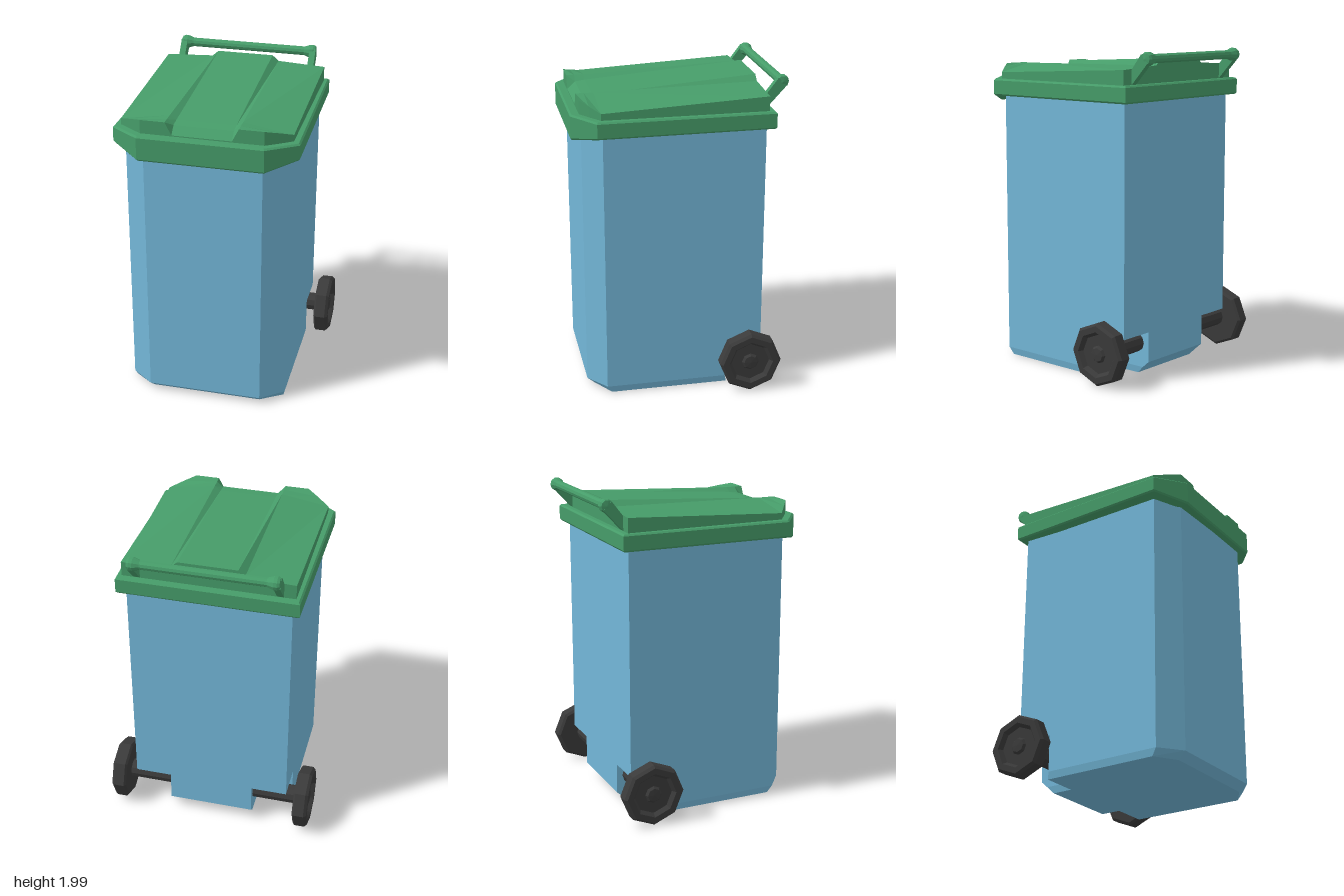
import * as THREE from 'three';

const mat = (color) => new THREE.MeshStandardMaterial({ color, flatShading: true });
const blue = mat(0x73b7d8), green = mat(0x469c69), dark = mat(0x3a3a3a);

function add(parent, name, geometry, material) {
  const mesh = new THREE.Mesh(geometry, material);
  mesh.name = name;
  parent.add(mesh);
  return mesh;
}

// Closed solid through rings of Vector3; u, v are the axes of the ring plane
function loft(rings, u, v) {
  const flat = (r) => r.map((p) => new THREE.Vector2(p[u], p[v]));
  if (THREE.ShapeUtils.area(flat(rings[0])) < 0) rings = rings.map((r) => [...r].reverse());
  const pos = [];
  const tri = (a, b, c) => {
    const n = b.clone().sub(a).cross(c.clone().sub(a));
    if (n.length() > 1e-8) for (const p of [a, b, c]) pos.push(p.x, p.y, p.z);
  };
  for (let k = 0; k + 1 < rings.length; k++) {
    const a = rings[k], b = rings[k + 1], n = a.length;
    for (let i = 0; i < n; i++) {
      const j = (i + 1) % n;
      tri(a[i], a[j], b[j]);
      tri(a[i], b[j], b[i]);
    }
  }
  const cap = (ring, up) => {
    const pts = flat(ring);
    for (const [a, b, c] of THREE.ShapeUtils.triangulateShape(pts, [])) {
      const ccw = THREE.ShapeUtils.area([pts[a], pts[b], pts[c]]) > 0;
      if (ccw === up) tri(ring[a], ring[b], ring[c]);
      else tri(ring[a], ring[c], ring[b]);
    }
  };
  cap(rings[0], false);
  cap(rings[rings.length - 1], true);
  const g = new THREE.BufferGeometry();
  g.setAttribute('position', new THREE.Float32BufferAttribute(pos, 3));
  g.computeVertexNormals();
  return g;
}

// Half outline [x, z, y] on the +x side, mirrored to a full ring
const plan = (half, y) => [
  ...half.map(([x, z, h = y]) => new THREE.Vector3(x, h, z)),
  ...[...half].reverse().map(([x, z, h = y]) => new THREE.Vector3(-x, h, z)),
];

function lathe(points, segments = 8) {
  return new THREE.LatheGeometry(points.map(([r, y]) => new THREE.Vector2(r, y)), segments);
}

export function createModel() {
  const bin = new THREE.Group();
  bin.name = 'wheeledBin';

  // Body with cut front corners and wheel notches at the back corners
  const front = [[0.5, 0.48], [0.36, 0.59]];
  const notched = (back) => [[0.27, back], [0.27, -0.28], [0.5, -0.28], ...front];
  const full = [[0.27, -0.51], [0.5, -0.51], [0.5, -0.28], ...front];
  const base = [[0.26, -0.42], [0.26, -0.29], [0.49, -0.29], [0.49, 0.45], [0.35, 0.54]];
  add(bin, 'body', loft([
    plan(base, 0.005),
    plan(notched(-0.465), 0.05),
    plan(notched(-0.51), 0.09),
    plan(notched(-0.51), 0.28),
    plan(full, 0.28),
    plan(full, 1.71),
  ], 'z', 'x'), blue);

  const lid = new THREE.Group();
  lid.name = 'lid';
  bin.add(lid);

  // Lid rim, its front lip hanging lower than the sides
  const rim = (inset, frontY, sideY) => plan([
    [0.55 - inset, -0.56 + inset, sideY],
    [0.563 - inset, 0.52 - inset / 2, sideY],
    [0.38 - inset / 2, 0.655 - inset, frontY],
  ], sideY);
  add(lid, 'lidRim', loft([
    rim(0.008, 1.655, 1.7), rim(0, 1.665, 1.71), rim(0, 1.8, 1.795), rim(0.01, 1.81, 1.805),
  ], 'z', 'x'), green);

  // Raised lid panel: a centre ridge at the back that sinks to a channel at the front
  const section = (z, w, outer, side, middle) => plan(
    [[w, z, 1.79], [w, z, outer], [0.22, z, side], [0.18, z, middle]], 0);
  add(lid, 'lidPanel', loft([
    section(-0.52, 0.52, 1.895, 1.91, 1.945),
    section(0.49, 0.52, 1.845, 1.893, 1.868),
    section(0.55, 0.44, 1.872, 1.893, 1.86),
    section(0.6, 0.37, 1.893, 1.893, 1.815),
  ], 'x', 'y'), green);

  // Handle bar with flared ends on two slanted arms
  const bar = add(lid, 'handleBar', lathe([
    [0, -0.45], [0.035, -0.445], [0.042, -0.43], [0.042, -0.41], [0.028, -0.37],
    [0.028, 0.37], [0.042, 0.41], [0.042, 0.43], [0.035, 0.445], [0, 0.45],
  ], 10), green);
  bar.rotation.z = -Math.PI / 2;
  bar.position.set(0, 1.958, -0.617);

  const armShape = new THREE.Shape([
    [-0.505, 1.8], [-0.505, 1.875], [-0.59, 1.985], [-0.64, 1.935], [-0.525, 1.81],
  ].map(([z, y]) => new THREE.Vector2(-z, y)));
  for (const s of [1, -1]) {
    const arm = add(lid, 'handleArm',
      new THREE.ExtrudeGeometry(armShape, { depth: 0.04, bevelEnabled: false }), green);
    arm.rotation.y = Math.PI / 2;
    arm.position.x = s * 0.428 - 0.02;
  }

  // Octagonal wheels with a recessed outer face, on short axles
  const wheelProfile = [
    [0, -0.047], [0.18, -0.047], [0.196, -0.035], [0.196, 0.03], [0.18, 0.047],
    [0.142, 0.047], [0.122, 0.02], [0.055, 0.02], [0.042, 0.035], [0, 0.038],
  ];
  for (const s of [1, -1]) {
    const wheel = add(bin, s > 0 ? 'leftWheel' : 'rightWheel', lathe(wheelProfile), dark);
    wheel.rotation.z = -s * Math.PI / 2;
    wheel.position.set(s * 0.603, 0.201, -0.413);

    const axle = add(bin, s > 0 ? 'leftAxle' : 'rightAxle',
      new THREE.CylinderGeometry(0.06, 0.06, 0.3, 10), dark);
    axle.rotation.z = Math.PI / 2;
    axle.position.set(s * 0.415, 0.203, -0.413);
  }
  return bin;
}
